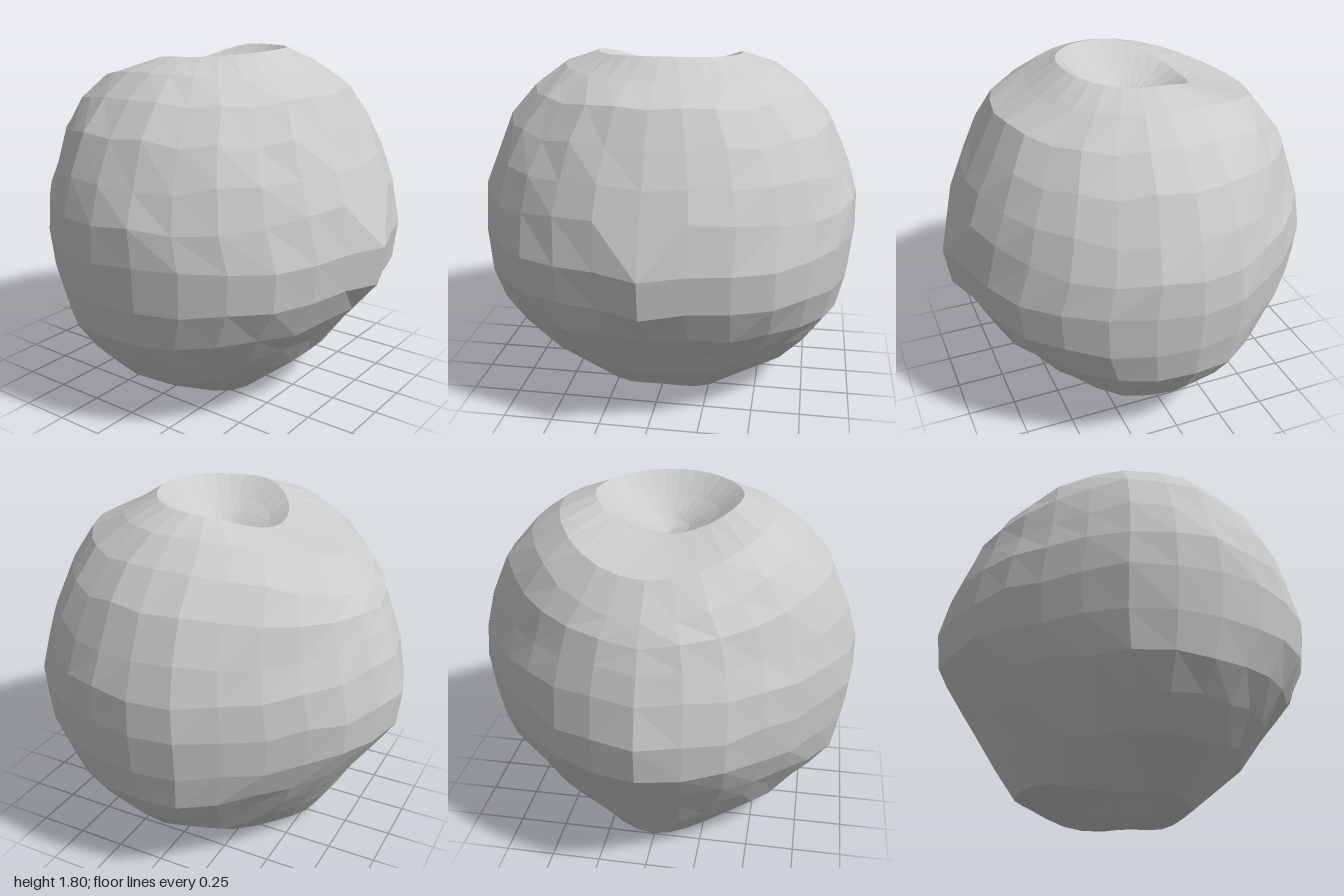
import * as THREE from 'three';

const SEG = 28;

// Horizontal rings, top to bottom: [-x reach, y], [z reach, y], [+x reach, y], flattening of the outline
const RINGS = [
  [[0.10, 1.59], [0.10, 1.60], [0.10, 1.60], 0],
  [[0.22, 1.63], [0.25, 1.69], [0.23, 1.70], 0],
  [[0.31, 1.67], [0.375, 1.78], [0.34, 1.80], 0],
  [[0.66, 1.58], [0.55, 1.72], [0.50, 1.70], 0.2],
  [[0.79, 1.43], [0.70, 1.61], [0.68, 1.61], 0.4],
  [[0.85, 1.33], [0.84, 1.45], [0.77, 1.44], 0.6],
  [[0.90, 1.22], [0.93, 1.25], [0.85, 1.28], 0.8],
  [[0.95, 1.09], [0.985, 1.07], [0.91, 1.13], 0.9],
  [[1.00, 0.89], [0.99, 0.89], [1.00, 0.90], 1],
  [[0.98, 0.70], [0.97, 0.68], [0.97, 0.70], 1],
  [[0.88, 0.55], [0.93, 0.50], [0.84, 0.54], 1],
  [[0.79, 0.43], [0.83, 0.34], [0.72, 0.39], 1],
  [[0.68, 0.24], [0.70, 0.20], [0.60, 0.24], 0.9],
  [[0.56, 0.07], [0.41, 0.015], [0.35, 0.02], 0.3],
  [[0.25, 0.04], [0.20, 0.03], [0.16, 0.03], 0],
];
const TOP_Y = 1.57, BOTTOM_Y = 0.09;

// Outline factor by angle from +x in degrees
const OUTLINE = [[0, 1], [17, 0.95], [34, 0.99], [60, 1], [101, 1], [112, 0.95], [135, 0.912], [149, 0.94], [168, 0.97], [180, 1]];
function outline(deg) {
  for (let i = 1; i < OUTLINE.length; i++) {
    const [a, fa] = OUTLINE[i - 1], [b, fb] = OUTLINE[i];
    if (deg <= b) return fa + (fb - fa) * (deg - a) / (b - a);
  }
  return 1;
}

// Repeatable unevenness in -1..1
function uneven(a, b) {
  const s = Math.sin(a * 127.1 + b * 311.7) * 43758.5453;
  return 2 * (s - Math.floor(s)) - 1;
}

function ringPoint(j, i) {
  const [left, side, right, flat] = RINGS[j];
  const t = (i / SEG) * Math.PI * 2, c = Math.cos(t), s = Math.sin(t);
  const m = Math.min(i, SEG - i);            // mirrored front to back
  const end = c > 0 ? right : left;
  const weight = c > 0 && (j < 8 || j > 9) ? 0 : flat;
  const k = 1 + (outline(m * 360 / SEG) - 1) * weight;
  let y = side[1] + (end[1] - side[1]) * c * c;
  const wobble = j > 3 && j < 13 && m > 0 && m < SEG / 2 && m !== SEG / 4;
  if (wobble) y += 0.018 * uneven(j, m);
  if (j >= 13) y += 0.012 * (1 + Math.cos(5 * t)) - 0.015;   // lobes under the base
  const r = k * (wobble ? 1 + 0.006 * uneven(m, j + 20) : 1);
  return [end[0] * c * r, Math.max(0, y), side[0] * s * r];
}

function appleGeometry() {
  const pos = [0, TOP_Y, 0], idx = [];
  RINGS.forEach((_, j) => {
    for (let i = 0; i < SEG; i++) pos.push(...ringPoint(j, i));
  });
  pos.push(0, BOTTOM_Y, 0);
  const at = (j, i) => 1 + j * SEG + (i % SEG);
  const last = RINGS.length - 1, bottom = 1 + RINGS.length * SEG;
  for (let i = 0; i < SEG; i++) {
    idx.push(0, at(0, i + 1), at(0, i));
    for (let j = 0; j < last; j++) {
      const a = at(j, i), b = at(j, i + 1), c = at(j + 1, i), d = at(j + 1, i + 1);
      // diagonals mirror across the middle
      if (i < SEG / 2) idx.push(a, b, c, b, d, c);
      else idx.push(a, b, d, a, d, c);
    }
    idx.push(bottom, at(last, i), at(last, i + 1));
  }
  const g = new THREE.BufferGeometry();
  g.setAttribute('position', new THREE.Float32BufferAttribute(pos, 3));
  g.setIndex(idx);
  g.computeVertexNormals();
  return g;
}

export function createModel() {
  const group = new THREE.Group();
  group.name = 'apple';
  // Fruit body with stem hollow above and lobed hollow below
  const body = new THREE.Mesh(
    appleGeometry(),
    new THREE.MeshStandardMaterial({ color: 0xcccccc, flatShading: true })
  );
  body.name = 'fruitBody';
  group.add(body);
  return group;
}
